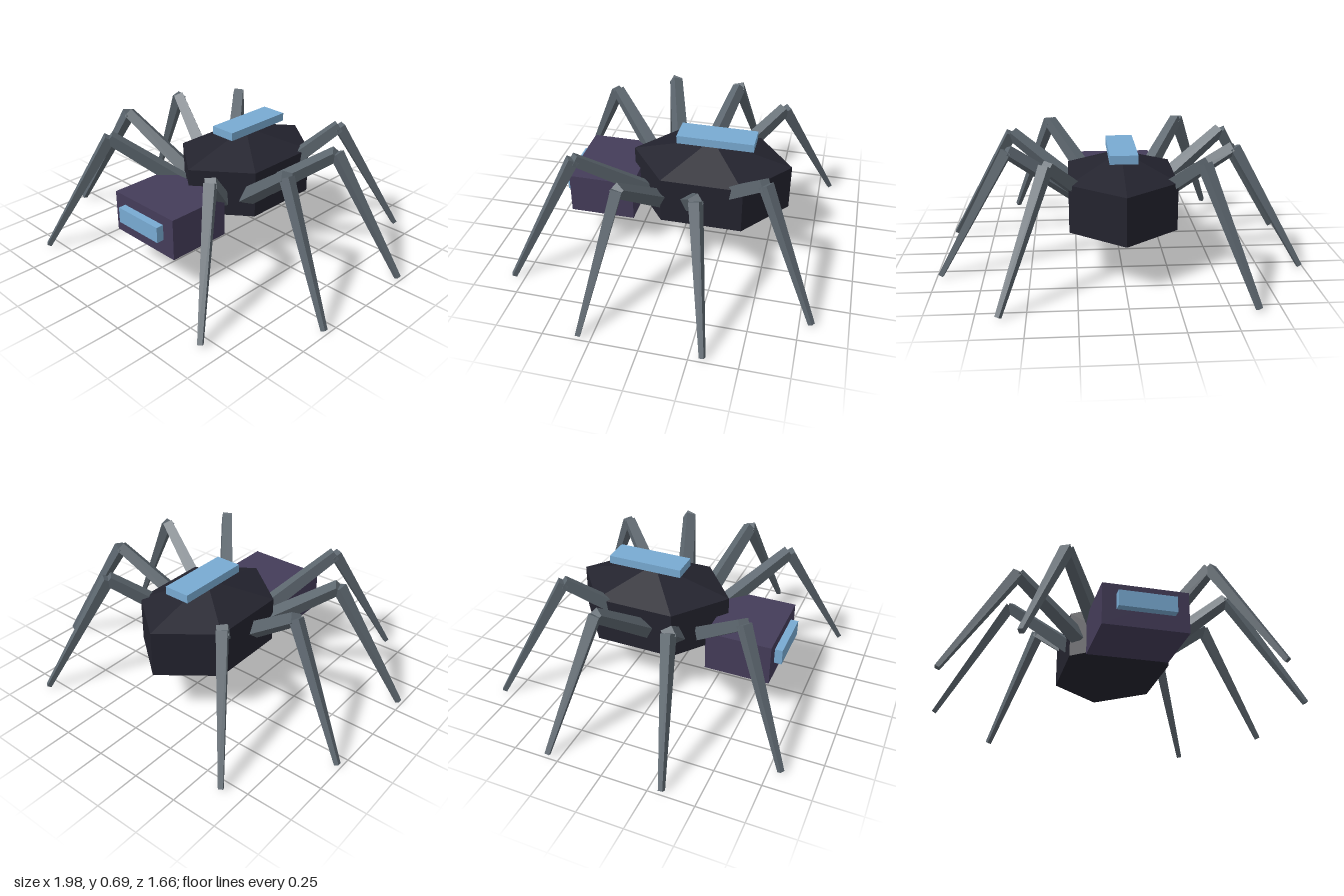
import * as THREE from 'three';

const flat = (name, color) => {
  const m = new THREE.MeshStandardMaterial({ color, flatShading: true });
  m.name = name;
  return m;
};

export function createModel() {
  const model = new THREE.Group();
  const shell = flat('dark shell', 0x23232e);
  const purple = flat('dusky purple', 0x443c59);
  const steel = flat('leg grey', 0x5c666e);
  const blue = flat('light blue', 0x78aad2);

  function add(name, geometry, material, x, y, z, parent = model) {
    const mesh = new THREE.Mesh(geometry, material);
    mesh.name = name;
    mesh.position.set(x, y, z);
    parent.add(mesh);
    return mesh;
  }

  // Six-sided body with a pointed cap above and below
  const profile = [[0, 0.135], [0.33, 0.262], [0.33, 0.523], [0, 0.642]]
    .map(([r, y]) => new THREE.Vector2(r, y));
  const body = add('body', new THREE.LatheGeometry(profile, 6), shell, 0, 0, -0.155);
  body.scale.z = 0.445 / 0.33;

  // Head, visor and the panel on the back
  add('head', new THREE.BoxGeometry(0.455, 0.23, 0.365), purple, 0, 0.315, 0.425);
  add('visor', new THREE.BoxGeometry(0.305, 0.088, 0.06), blue, 0, 0.332, 0.62);
  add('backPanel', new THREE.BoxGeometry(0.148, 0.046, 0.425), blue, 0, 0.657, -0.183);

  // Square tapered bar from a to b
  const up = new THREE.Vector3(0, 1, 0);
  function bar(name, a, b, ra, rb, parent) {
    const d = b.clone().sub(a);
    const mid = a.clone().add(b).multiplyScalar(0.5);
    const mesh = add(name, new THREE.CylinderGeometry(rb, ra, d.length(), 4), steel, mid.x, mid.y, mid.z, parent);
    mesh.quaternion.setFromUnitVectors(up, d.normalize());
  }

  // Eight legs radiating from the centre
  for (const side of [1, -1]) {
    for (const degrees of [52, 18, -18, -52]) {
      const t = THREE.MathUtils.degToRad(degrees);
      const at = (r, y) => new THREE.Vector3(side * r * Math.cos(t), y, r * Math.sin(t));
      const leg = new THREE.Group();
      leg.name = side > 0 ? 'leftLeg' : 'rightLeg';
      const hip = at(0.24, 0.365), knee = at(0.64, 0.66), foot = at(1.03, 0.009);
      bar('upperLeg', hip, knee, 0.052, 0.04, leg);
      bar('lowerLeg', knee, foot, 0.04, 0.018, leg);
      model.add(leg);
    }
  }
  return model;
}
